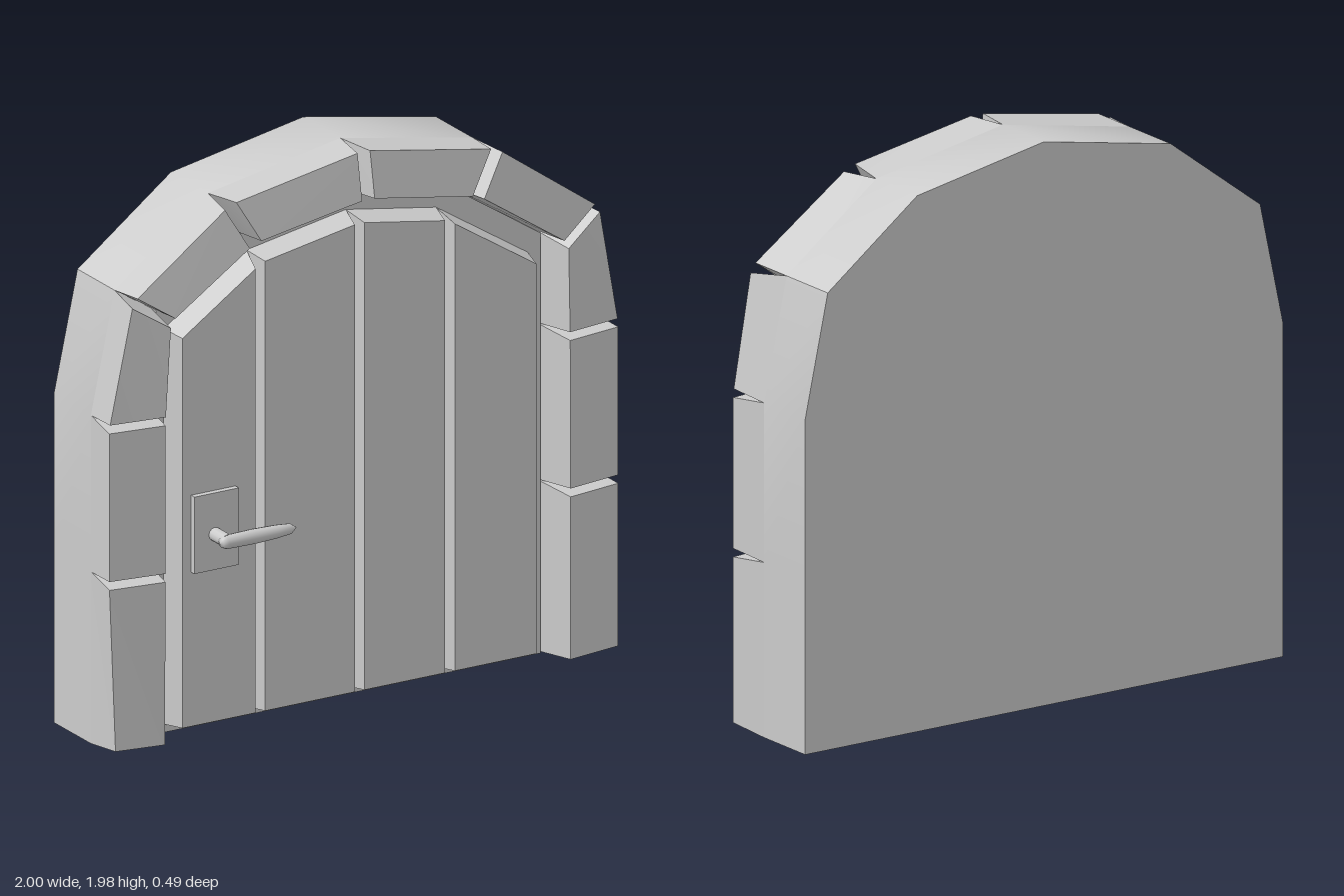
import * as THREE from 'three';
import { toCreasedNormals } from 'three/addons/utils/BufferGeometryUtils.js';

const BACK = -0.25, SEAT = -0.01, PANEL = 0.025, PLANK = 0.115;
const BASE = 0.005;

// Outline points run from the bottom left, over the arch, to the bottom right.
const outerBack = [[-0.98, BASE], [-0.98, 0.62], [-0.98, 1.18], [-0.887, 1.61], [-0.52, 1.887], [0, 1.985],
  [0.52, 1.887], [0.887, 1.61], [0.98, 1.18], [0.98, 0.62], [0.98, BASE]];
const outerFront = [[-0.975, BASE], [-1, 0.62], [-1, 1.18], [-0.905, 1.615], [-0.525, 1.893], [0, 1.987],
  [0.525, 1.893], [0.925, 1.61], [1, 1.18], [1, 0.62], [1, BASE]];
const innerBack = [[-0.75, BASE], [-0.765, 0.62], [-0.765, 1.18], [-0.745, 1.52], [-0.42, 1.735], [0, 1.81],
  [0.42, 1.735], [0.765, 1.51], [0.765, 1.18], [0.765, 0.62], [0.765, BASE]];
const innerFront = [[-0.8, BASE], [-0.797, 0.62], [-0.797, 1.18], [-0.775, 1.53], [-0.445, 1.75], [0, 1.825],
  [0.435, 1.75], [0.787, 1.515], [0.793, 1.18], [0.795, 0.62], [0.795, BASE]];
// Half width of the joint at each outline point.
const joints = [0.018, 0.015, 0.015, 0.02, 0.025, 0.025, 0.025, 0.02, 0.015, 0.015, 0.018];

const material = () => new THREE.MeshStandardMaterial({ color: 0xcccccc });

function addMesh(parent, name, geometry) {
  const mesh = new THREE.Mesh(geometry, material());
  mesh.name = name;
  parent.add(mesh);
  return mesh;
}

// Closed solid between two convex rings, both counterclockwise seen from the front.
function loft(back, front) {
  const pos = [];
  const tri = (a, b, c) => pos.push(...a, ...b, ...c);
  const n = back.length;
  for (let i = 0; i < n; i++) {
    const j = (i + 1) % n;
    tri(back[i], back[j], front[j]);
    tri(back[i], front[j], front[i]);
    if (i > 0 && i < n - 1) {
      tri(front[0], front[i], front[i + 1]);
      tri(back[0], back[i + 1], back[i]);
    }
  }
  const geometry = new THREE.BufferGeometry();
  geometry.setAttribute('position', new THREE.Float32BufferAttribute(pos, 3));
  return toCreasedNormals(geometry, 0.3);
}

function slab(points, z0, z1) {
  const shape = new THREE.Shape(points.map(p => new THREE.Vector2(...p)));
  const geometry = new THREE.ExtrudeGeometry(shape, { depth: z1 - z0, bevelEnabled: false });
  geometry.translate(0, 0, z0);
  return toCreasedNormals(geometry, 0.65);
}

// Point on the way from a to b, moved in from a by a fixed distance.
function pullIn(a, b, distance, z) {
  const t = distance / Math.hypot(b[0] - a[0], b[1] - a[1]);
  return [a[0] + (b[0] - a[0]) * t, a[1] + (b[1] - a[1]) * t, z];
}

// Stones taper towards the front, so V-shaped joints open between them.
function addStones(parent) {
  const stones = new THREE.Group();
  stones.name = 'archStones';
  for (let i = 0; i < outerBack.length - 1; i++) {
    const j = i + 1;
    const back = [innerBack[i], innerBack[j], outerBack[j], outerBack[i]].map(p => [...p, SEAT]);
    const front = [
      pullIn(innerFront[i], innerFront[j], joints[i], 0.172),
      pullIn(innerFront[j], innerFront[i], joints[j], 0.172),
      pullIn(outerFront[j], outerFront[i], joints[j], 0.142),
      pullIn(outerFront[i], outerFront[j], joints[i], 0.142),
    ];
    addMesh(stones, 'archStone', loft(back, front));
  }
  parent.add(stones);
}

// Raised planks with sloping edges; their tops follow the arch.
function addPlanks(parent) {
  const tops = [[-0.715, 1.45], [-0.39, 1.67], [0, 1.74], [0.355, 1.68], [0.715, 1.45]];
  const bottom = 0.035, inset = 0.019;
  const planks = new THREE.Group();
  planks.name = 'doorPlanks';
  for (let i = 0; i < tops.length - 1; i++) {
    const [x0, y0] = tops[i], [x1, y1] = tops[i + 1];
    const slope = (y1 - y0) / (x1 - x0);
    const drop = inset * Math.hypot(1, slope);
    const back = [[x0, bottom, PANEL], [x1, bottom, PANEL], [x1, y1, PANEL], [x0, y0, PANEL]];
    const front = [
      [x0 + inset, bottom + 0.01, PLANK],
      [x1 - inset, bottom + 0.01, PLANK],
      [x1 - inset, y1 - inset * slope - drop, PLANK],
      [x0 + inset, y0 + inset * slope - drop, PLANK],
    ];
    addMesh(planks, 'doorPlank', loft(back, front));
  }
  parent.add(planks);
}

// Plate, stem and tapered lever.
function addHandle(parent) {
  const handle = new THREE.Group();
  handle.name = 'doorHandle';
  const plate = addMesh(handle, 'handlePlate', new THREE.BoxGeometry(0.175, 0.275, 0.03));
  plate.position.set(-0.575, 0.735, 0.122);

  const stem = addMesh(handle, 'handleStem', new THREE.CylinderGeometry(0.024, 0.024, 0.1, 12));
  stem.rotation.x = Math.PI / 2;
  stem.position.set(-0.582, 0.725, 0.17);

  const profile = [[0, 0], [0.017, 0.004], [0.024, 0.022], [0.026, 0.13], [0.023, 0.22], [0.018, 0.275], [0, 0.3]];
  const geometry = new THREE.LatheGeometry(profile.map(p => new THREE.Vector2(...p)), 12);
  const lever = addMesh(handle, 'handleLever', geometry);
  lever.rotation.z = -Math.PI / 2;
  lever.position.set(-0.61, 0.723, 0.218);
  parent.add(handle);
}

export function createModel() {
  const model = new THREE.Group();
  model.name = 'archedDoor';
  addMesh(model, 'wallBody', slab(outerBack, BACK, SEAT));
  addMesh(model, 'doorPanel', slab(innerBack, SEAT, PANEL));
  addStones(model);
  addPlanks(model);
  addHandle(model);
  return model;
}
